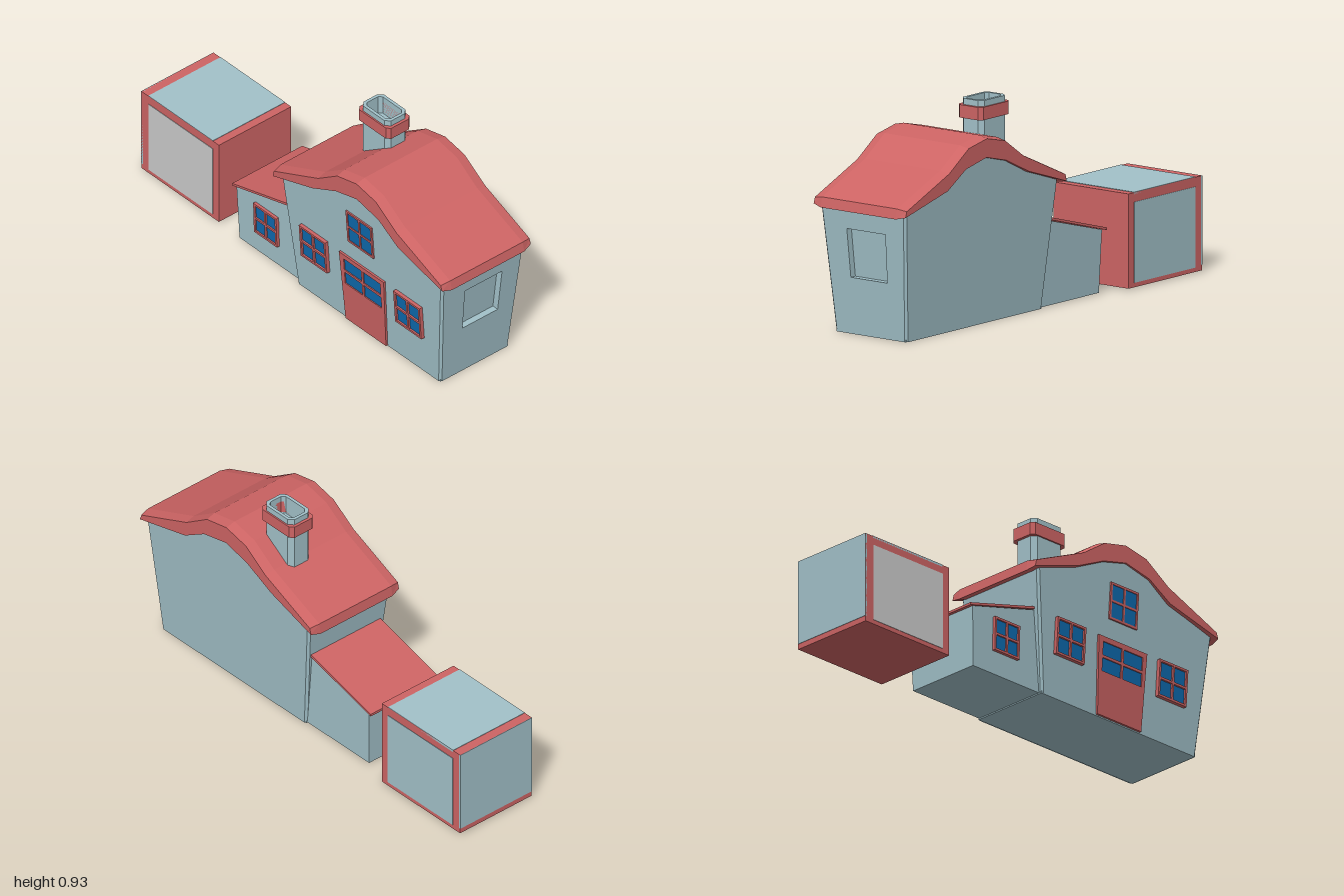
import * as THREE from 'three';

const mat = (color, side = THREE.FrontSide) =>
  new THREE.MeshStandardMaterial({ color, side, flatShading: true });

export function createModel() {
  const root = new THREE.Group();
  const blue = mat(0xa2c1c9), wallMat = mat(0xa2c1c9, THREE.DoubleSide);
  const red = mat(0xcd6464), glassMat = mat(0x0e6bb0), grey = mat(0xcccccc);

  // leaning wall planes of the house as functions of height
  const front = y => 0.19 + 0.068 * y;
  const right = y => 0.91 + 0.1 * y;
  const left = y => 0.01 - 0.11 * y;
  const c = 0.01; // corner chamfer

  const vecs = pts => pts.map(p => new THREE.Vector2(p[0], p[1]));
  const shapeOf = (pts, ...holes) => {
    const s = new THREE.Shape(vecs(pts));
    holes.forEach(h => s.holes.push(new THREE.Path(vecs(h))));
    return s;
  };
  const rect = (x0, y0, x1, y1) => [[x0, y0], [x1, y0], [x1, y1], [x0, y1]];
  const extrude = (shape, depth) =>
    new THREE.ExtrudeGeometry(shape, { depth, bevelEnabled: false });
  function warp(geo, fn) {
    const p = geo.attributes.position;
    for (let i = 0; i < p.count; i++) p.setXYZ(i, ...fn(p.getX(i), p.getY(i), p.getZ(i)));
    geo.computeVertexNormals();
    return geo;
  }
  function add(name, geo, material, parent = root) {
    const m = new THREE.Mesh(geo, material);
    m.name = name;
    parent.add(m);
    return m;
  }
  function box(name, x0, x1, y0, y1, z0, z1, material, parent) {
    const m = add(name, new THREE.BoxGeometry(x1 - x0, y1 - y0, z1 - z0), material, parent);
    m.position.set((x0 + x1) / 2, (y0 + y1) / 2, (z0 + z1) / 2);
  }

  // House walls
  const house = new THREE.Group();
  house.name = 'houseWalls';
  root.add(house);
  const gable = shapeOf([
    [left(0) + c, 0], [right(0) - c, 0], [right(0.55) - c, 0.55], [0.7, 0.617], [0.58, 0.69],
    [0.447, 0.718], [0.32, 0.686], [0.17, 0.615], [left(0.55) + c, 0.55]]);
  add('frontWall', warp(new THREE.ShapeGeometry(gable), (u, v) => [u, v, front(v)]), wallMat, house);
  const backGeo = new THREE.ShapeGeometry(gable);
  backGeo.index.array.reverse();
  add('backWall', warp(backGeo, (u, v) => [u, v, -front(v)]), wallMat, house);

  const side = [[c - front(0), 0], [front(0) - c, 0], [front(0.55) - c, 0.55], [c - front(0.55), 0.55]];
  const opening = [[-0.088, 0.245], [0.107, 0.245], [0.113, 0.455], [-0.093, 0.455]];
  add('leftEndWall', warp(new THREE.ShapeGeometry(shapeOf(side)), (u, v) => [left(v), v, u]), wallMat, house);
  add('rightEndWall', warp(new THREE.ShapeGeometry(shapeOf(side, opening)),
    (u, v) => [right(v), v, -u]), wallMat, house);

  // Blind window recess in the end wall
  const toEnd = (u, v, w) => [right(v) - 0.031 + w, v, -u];
  add('recessReveal', warp(extrude(shapeOf(rect(-0.12, 0.22, 0.14, 0.48), opening), 0.03), toEnd), blue, house);
  add('recessPane', warp(new THREE.ShapeGeometry(shapeOf(opening)), toEnd), wallMat, house);

  // Chamfered corners
  for (const sx of [-1, 1]) for (const sz of [-1, 1]) {
    const geo = warp(new THREE.PlaneGeometry(1, 1), (u, v) => {
      const y = (v + 0.5) * 0.55, t = u + 0.5;
      const x = sx > 0 ? right(y) : left(y);
      return [x - sx * c * (1 - t), y, sz * (front(y) - c * t)];
    });
    add('cornerEdge', geo, wallMat, house);
  }
  box('houseFloor', 0.012, 0.908, 0, 0.01, -0.186, 0.186, blue, house);

  // Wavy main roof
  const roofShape = shapeOf([
    [-0.092, 0.523], [0.17, 0.605], [0.32, 0.676], [0.447, 0.708], [0.58, 0.68], [0.7, 0.607],
    [0.995, 0.537], [0.985, 0.58], [0.7, 0.697], [0.57, 0.784], [0.445, 0.808], [0.32, 0.779],
    [0.197, 0.695], [-0.085, 0.57]]);
  const roof = new THREE.ExtrudeGeometry(roofShape, {
    depth: 0.4, bevelThickness: 0.045, bevelSize: 0.01, bevelOffset: -0.01, bevelSegments: 1 });
  add('mainRoof', roof.translate(0, 0, -0.2), red);

  // Chimney with collar, open at the top
  const cx = 0.255, cz = -0.075;
  const octagon = (a, b, k) => [[-a + k, -b], [a - k, -b], [a, -b + k], [a, b - k],
    [a - k, b], [-a + k, b], [-a, b - k], [-a, -b + k]];
  const bore = octagon(0.073, 0.044, 0.014);
  const upright = (shape, y, h) =>
    extrude(shape, h).rotateX(-Math.PI / 2).translate(cx, y, cz);
  add('chimneyShaft', upright(shapeOf(octagon(0.087, 0.058, 0.02), bore), 0.6, 0.326), blue);
  add('chimneyCollar', upright(shapeOf(octagon(0.1, 0.065, 0.016), bore), 0.845, 0.055), red);
  add('chimneyFloor', upright(shapeOf(bore), 0.83, 0.01), blue);

  // Side annex
  const annexWall = y => 0.172 + 0.03 * y;
  const annex = extrude(shapeOf([[-0.375, 0.004], [0.05, 0.004], [0, 0.376], [-0.385, 0.272]]), 1);
  add('annexWalls', warp(annex, (x, y, z) =>
    [x, y, z > 0.5 ? annexWall(y) : -annexWall(y) - 0.01]), blue);
  const annexRoof = extrude(shapeOf([[-0.405, 0.268], [-0.01, 0.377], [-0.01, 0.388], [-0.405, 0.279]]), 0.387);
  add('annexRoof', annexRoof.translate(0, 0, -0.2), red);

  // Paned windows and door, following the lean of their wall
  function paned(name, outline, [x0, y0, x1, y1], wall, out, bar) {
    const g = new THREE.Group();
    g.name = name;
    root.add(g);
    const w = (x1 - x0 - bar) / 2, h = (y1 - y0 - bar) / 2, holes = [];
    for (let i = 0; i < 2; i++) for (let j = 0; j < 2; j++) {
      const x = x0 + i * (w + bar), y = y0 + j * (h + bar);
      holes.push(rect(x, y, x + w, y + h));
    }
    const onWall = base => (x, y, z) => [x, y, wall(y) + base + z];
    add('frame', warp(extrude(shapeOf(outline, ...holes), out + 0.01), onWall(-0.01)), red, g);
    add('glass', warp(extrude(shapeOf(rect(x0, y0, x1, y1)), 0.01), onWall(out * 0.5 - 0.01)), glassMat, g);
  }
  const windows = [
    ['leftWindow', 0.065, 0.19, 0.23, 0.355, front, 0.017],
    ['rightWindow', 0.66, 0.19, 0.825, 0.355, front, 0.017],
    ['upperWindow', 0.368, 0.445, 0.53, 0.61, front, 0.007],
    ['annexWindow', -0.265, 0.108, -0.12, 0.26, annexWall, 0.014]];
  for (const [name, x0, y0, x1, y1, wall, out] of windows) {
    const b = 0.01;
    paned(name, rect(x0, y0, x1, y1), [x0 + b, y0 + b, x1 - b, y1 - b], wall, out, 0.01);
  }
  paned('door', [[0.325, 0.003], [0.58, 0.003], [0.592, 0.355], [0.31, 0.355]],
    [0.338, 0.2, 0.568, 0.332], front, 0.01, 0.012);

  // Separate crate with inset-coloured faces
  const crate = new THREE.Group();
  crate.name = 'crate';
  root.add(crate);
  box('crateBody', -0.998, -0.51, 0.006, 0.408, -0.231, 0.168, red, crate);
  box('crateFrontPanel', -0.953, -0.548, 0.025, 0.368, 0.16, 0.17, grey, crate);
  box('crateBackPanel', -0.953, -0.548, 0.025, 0.368, -0.233, -0.22, blue, crate);
  box('crateTopPanel', -0.955, -0.548, 0.4, 0.41, -0.231, 0.168, blue, crate);
  box('crateSidePanel', -1, -0.99, 0.03, 0.408, -0.231, 0.168, blue, crate);

  return root;
}
